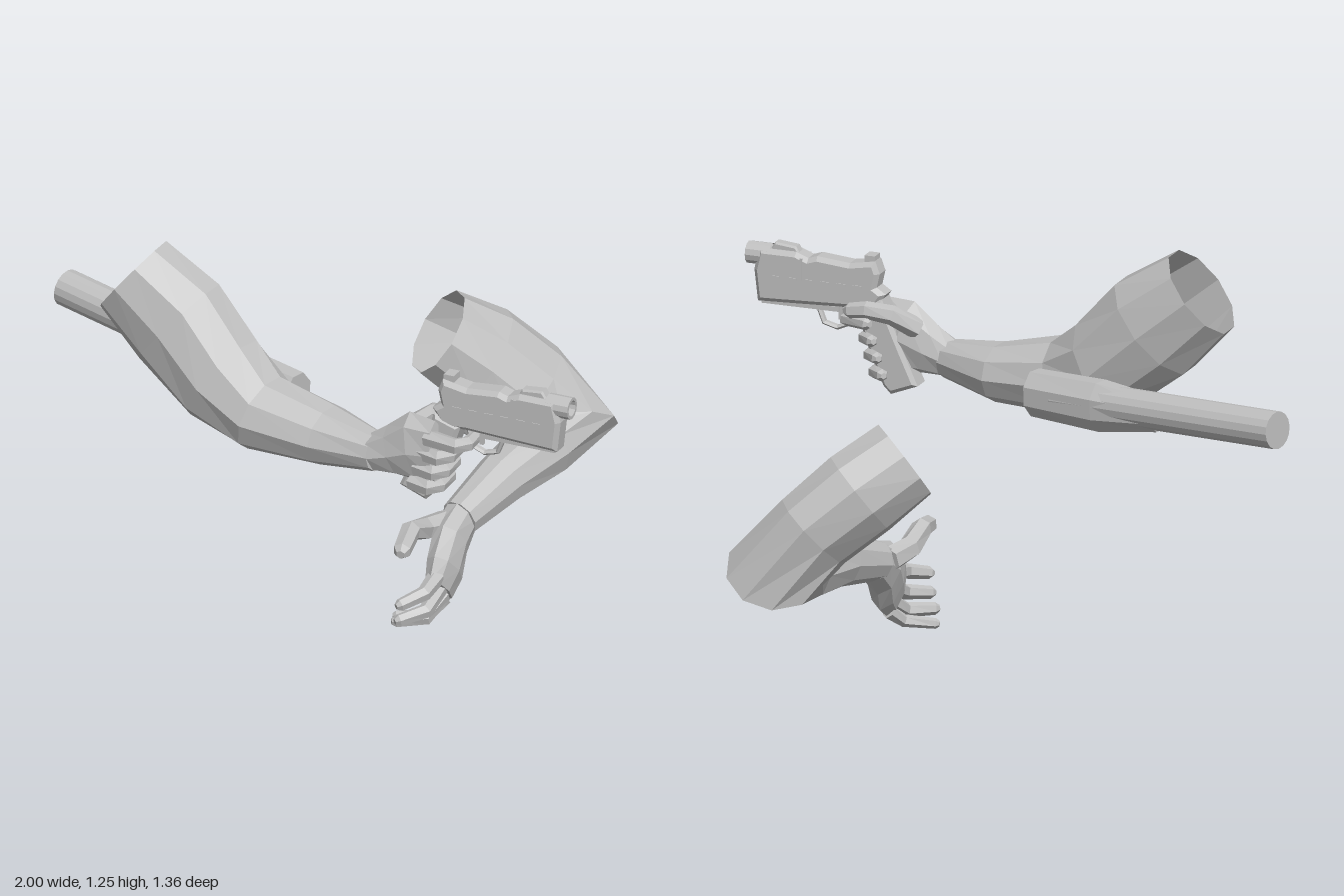
import * as THREE from 'three';

const grey = new THREE.MeshStandardMaterial({ color: 0xc0c0c0, flatShading: true, side: THREE.DoubleSide });
grey.name = 'plain grey';

// Loft of elliptical rings. Ring: [x, y, z, half size along the hint, half size across it]
function loft(name, rings, sides, hint, { capStart = true, capEnd = true, phase = 0 } = {}) {
  const centres = rings.map(r => new THREE.Vector3(r[0], r[1], r[2]));
  const pos = [], index = [];
  rings.forEach(([, , , a, b = a], i) => {
    const dir = new THREE.Vector3();
    if (i > 0) dir.add(centres[i].clone().sub(centres[i - 1]).normalize());
    if (i < rings.length - 1) dir.add(centres[i + 1].clone().sub(centres[i]).normalize());
    dir.normalize();
    const u = new THREE.Vector3(...hint);
    u.addScaledVector(dir, -u.dot(dir)).normalize();
    const v = dir.clone().cross(u);
    for (let j = 0; j < sides; j++) {
      const t = phase + (j / sides) * Math.PI * 2;
      const p = centres[i].clone().addScaledVector(u, a * Math.cos(t)).addScaledVector(v, b * Math.sin(t));
      pos.push(p.x, p.y, p.z);
    }
  });
  const last = rings.length - 1;
  for (let i = 0; i < last; i++) {
    for (let j = 0; j < sides; j++) {
      const k = (j + 1) % sides, p = i * sides, q = p + sides;
      index.push(p + j, p + k, q + k, p + j, q + k, q + j);
    }
  }
  for (let j = 1; j < sides - 1; j++) {
    if (capStart) index.push(0, j + 1, j);
    if (capEnd) index.push(last * sides, last * sides + j, last * sides + j + 1);
  }
  const g = new THREE.BufferGeometry();
  g.setAttribute('position', new THREE.Float32BufferAttribute(pos, 3));
  g.setIndex(index);
  g.computeVertexNormals();
  const mesh = new THREE.Mesh(g, grey);
  mesh.name = name;
  return mesh;
}

// Side outline in x and y, given thickness along z
function slab(name, points, z, depth, bevel = 0.008) {
  const shape = new THREE.Shape(points.map(p => new THREE.Vector2(...p)));
  const g = new THREE.ExtrudeGeometry(shape, {
    depth: depth - 2 * bevel, bevelEnabled: bevel > 0, bevelSize: bevel, bevelOffset: -bevel,
    bevelThickness: bevel, bevelSegments: 1,
  });
  g.translate(0, 0, z - depth / 2 + bevel);
  const mesh = new THREE.Mesh(g, grey);
  mesh.name = name;
  return mesh;
}

function box(name, w, h, d, x, y, z) {
  const mesh = new THREE.Mesh(new THREE.BoxGeometry(w, h, d), grey);
  mesh.position.set(x, y, z);
  mesh.name = name;
  return mesh;
}

function finger(name, points, r) {
  const n = points.length - 1;
  const rings = points.map((p, i) => [...p, r * (1 - 0.3 * i / n)]);
  // rounded tip just past the last joint
  const a = new THREE.Vector3(...points[n - 1]), b = new THREE.Vector3(...points[n]);
  const tip = b.clone().addScaledVector(b.clone().sub(a).normalize(), r * 0.5);
  rings.push([tip.x, tip.y, tip.z, r * 0.35]);
  return loft(name, rings, 6, [0.12, 1, 0.23]);
}

function group(name, ...parts) {
  const g = new THREE.Group();
  g.name = name;
  g.add(...parts);
  return g;
}

function makeRightArm() {
  const arm = loft('rightArm', [
    [-0.575, 1.135, 0.445, 0.135, 0.155],
    [-0.415, 1.005, 0.45, 0.145, 0.185],
    [-0.25, 0.855, 0.475, 0.152, 0.165],
    [-0.09, 0.785, 0.52, 0.138, 0.125],
    [0.14, 0.763, 0.54, 0.112, 0.094],
    [0.34, 0.768, 0.595, 0.06, 0.062],
  ], 10, [0, 0, 1], { capStart: false });
  const palm = loft('rightPalm', [
    [0.33, 0.768, 0.595, 0.06, 0.062],
    [0.4, 0.79, 0.598, 0.062, 0.085],
    [0.48, 0.82, 0.605, 0.065, 0.12],
    [0.56, 0.825, 0.63, 0.04, 0.11],
  ], 8, [0, 0, 1]);
  // fingers wrapped around the grip, the first one reaching for the trigger
  const fingers = ['Index', 'Middle', 'Ring', 'Little'].map((n, i) => {
    const y = 0.878 - i * 0.054, x = 0.6 - i * 0.017, reach = i === 0 ? 0.045 : 0;
    return finger('right' + n + 'Finger', [
      [x - 0.07, y, 0.64], [x - 0.01 + reach, y, 0.66], [x + 0.015 + reach, y - 0.005, 0.62],
      [x + 0.015 + reach, y - 0.005, 0.545], [x - 0.025, y, 0.505],
    ], 0.029);
  });
  const thumb = finger('rightThumb', [
    [0.43, 0.86, 0.57], [0.5, 0.91, 0.525], [0.58, 0.92, 0.515], [0.64, 0.91, 0.52],
  ], 0.035);
  return group('rightArmAndHand', arm, palm, thumb, ...fingers);
}

function makeLeftArm() {
  const arm = loft('leftArm', [
    [0.11, 0.735, -0.335, 0.14, 0.145],
    [0.225, 0.635, -0.42, 0.145, 0.175],
    [0.355, 0.515, -0.485, 0.135, 0.175],
    [0.46, 0.395, -0.54, 0.15, 0.165],
    [0.432, 0.37, -0.4, 0.12, 0.105],
    [0.385, 0.335, -0.2, 0.085, 0.085],
    [0.34, 0.28, 0, 0.065, 0.063],
  ], 10, [-0.642, -0.565, -0.288], { capStart: false });
  const palm = loft('leftPalm', [
    [0.34, 0.282, -0.02, 0.056, 0.066],
    [0.342, 0.235, 0.07, 0.055, 0.09],
    [0.355, 0.17, 0.14, 0.05, 0.105],
    [0.358, 0.12, 0.19, 0.036, 0.088],
  ], 8, [1, 0, 0]);
  const fingers = [
    ['Index', [0.362, 0.175, 0.215], [0.36, 0.155, 0.3], [0.31, 0.135, 0.37]],
    ['Middle', [0.362, 0.13, 0.19], [0.36, 0.09, 0.29], [0.3, 0.075, 0.358]],
    ['Ring', [0.36, 0.095, 0.165], [0.34, 0.045, 0.25], [0.265, 0.042, 0.305]],
    ['Little', [0.355, 0.07, 0.14], [0.325, 0.027, 0.195], [0.23, 0.02, 0.225]],
  ].map(([n, ...p]) => finger('left' + n + 'Finger', p, n === 'Little' ? 0.024 : 0.029));
  const thumb = finger('leftThumb', [
    [0.31, 0.275, 0.03], [0.28, 0.29, 0.13], [0.28, 0.325, 0.23], [0.3, 0.305, 0.335],
  ], 0.042);
  return group('leftArmAndHand', arm, palm, thumb, ...fingers);
}

function makePistol() {
  const z = 0.575;
  const body = slab('pistolBody', [
    [0.55, 1.03], [0.565, 1.07], [0.65, 1.055], [0.76, 1.065], [0.79, 1.055], [0.83, 1.07],
    [0.955, 1.07], [0.972, 1.0], [0.96, 0.897], [0.88, 0.9], [0.65, 0.91], [0.57, 0.905],
    [0.53, 0.965], [0.56, 0.985],
  ], z, 0.076, 0.014);
  const grip = slab('pistolGrip', [
    [0.54, 0.95], [0.63, 0.92], [0.59, 0.8], [0.535, 0.67], [0.51, 0.645], [0.42, 0.68], [0.47, 0.79],
  ], z, 0.085, 0.012);
  const hood = slab('topRail', [[0.82, 1.06], [0.835, 1.085], [0.905, 1.092], [0.925, 1.06]], z, 0.04, 0.006);
  const muzzle = new THREE.Mesh(new THREE.LatheGeometry(
    [[0.036, -0.05], [0.036, 0.03], [0.026, 0.03], [0.026, -0.02], [0, -0.02]].map(p => new THREE.Vector2(...p)), 12), grey);
  muzzle.rotation.z = -Math.PI / 2;
  muzzle.position.set(0.97, 1.045, z);
  muzzle.name = 'muzzle';
  const guard = loft('triggerGuard', [
    [0.645, 0.91, z, 0.014, 0.008], [0.66, 0.85, z, 0.014, 0.008], [0.7, 0.833, z, 0.014, 0.008],
    [0.745, 0.845, z, 0.014, 0.008], [0.77, 0.91, z, 0.014, 0.008],
  ], 6, [0, 0, 1]);
  const trigger = box('trigger', 0.012, 0.05, 0.014, 0.69, 0.885, z);
  const parts = [body, grip, hood, muzzle, guard, trigger,
    box('rearSight', 0.035, 0.025, 0.045, 0.585, 1.073, z),
    box('lowerRail', 0.26, 0.016, 0.04, 0.82, 0.897, z)];
  // side vents and seam
  for (const s of [-1, 1]) {
    for (let i = 0; i < 6; i++) parts.push(box('sideVent', 0.03, 0.007, 0.006, 0.62 + i * 0.055, 0.985, z + s * 0.038));
    parts.push(box('sideSeam', 0.008, 0.07, 0.006, 0.81, 1.02, z + s * 0.038));
  }
  return group('pistol', ...parts);
}

function makeRod() {
  const rod = loft('rod', [[-0.983, 0.84, 0.068, 0.06], [-0.15, 0.782, 0.317, 0.06]], 16, [0, 1, 0]);
  const socket = loft('rodSocket', [
    [-0.53, 0.798, 0.204, 0.056, 0.05],
    [-0.31, 0.783, 0.27, 0.085, 0.066],
    [-0.055, 0.775, 0.345, 0.078, 0.063],
  ], 8, [0, 1, 0], { phase: Math.PI / 8 });
  return group('rodWithSocket', rod, socket);
}

export function createModel() {
  return group('armsWithPistolAndRod', makeRightArm(), makeLeftArm(), makePistol(), makeRod());
}
